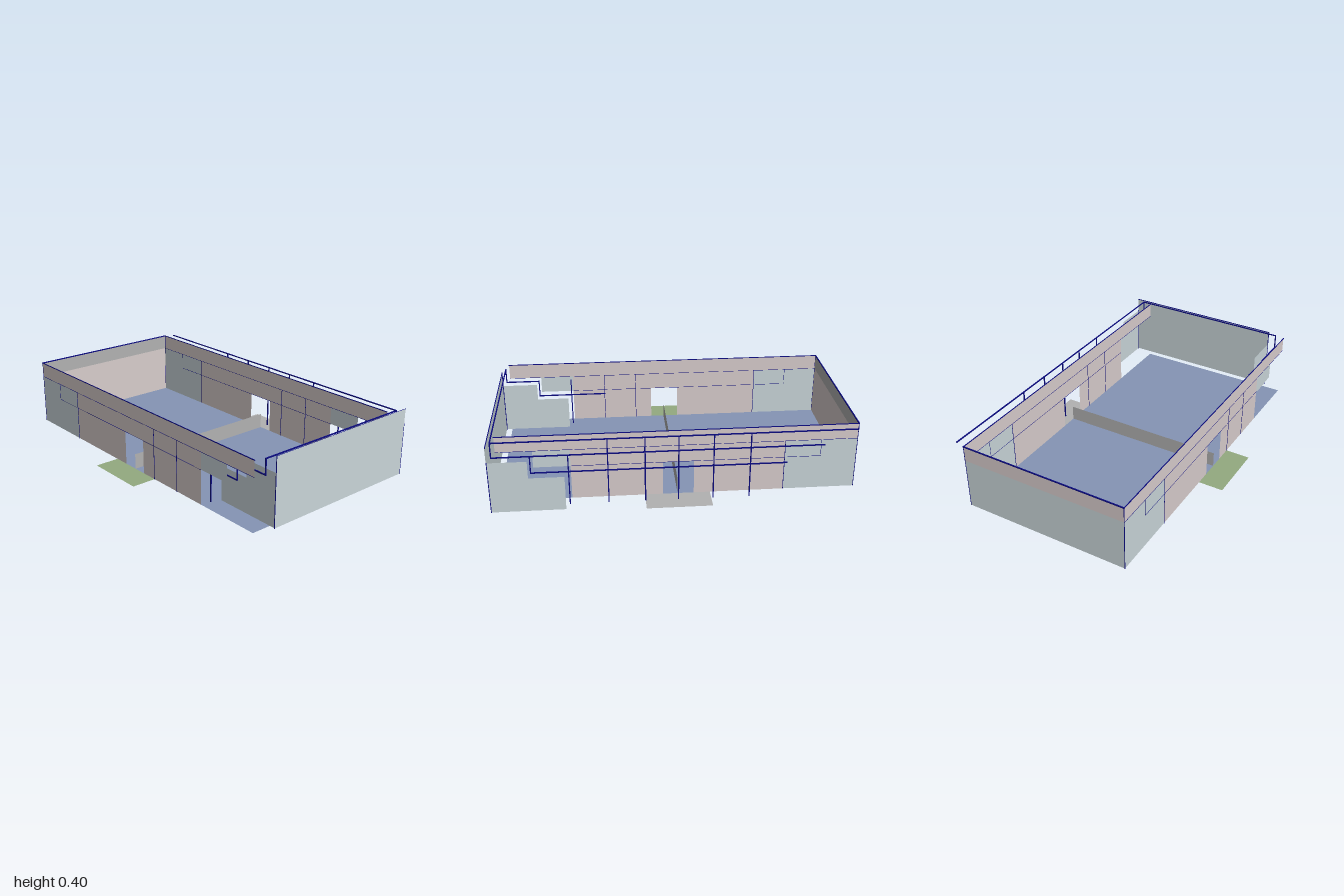
import * as THREE from 'three';

const mat = (color, side = THREE.DoubleSide) => new THREE.MeshStandardMaterial({ color, side });
const pink = mat(0xd8cdcc), teal = mat(0xc9d5d9), grey = mat(0xb2b2b2);
const blue = mat(0x8595b5), green = mat(0x93aa80), navy = mat(0x0a0a80);
const pinkIn = mat(0xd8cdcc, THREE.BackSide), tealOut = mat(0xc9d5d9, THREE.FrontSide);
const greyIn = mat(0xb2b2b2, THREE.BackSide), pinkOut = mat(0xd8cdcc, THREE.FrontSide);

const X0 = -1, X1 = 0.965, FRONT = 0.49, BACK = -0.495, TOP = 0.39;

export function createModel() {
  const model = new THREE.Group();

  const add = (parent, name, geometry, material) => {
    const mesh = new THREE.Mesh(geometry, material);
    mesh.name = name;
    parent.add(mesh);
    return mesh;
  };
  const group = (name) => {
    const g = new THREE.Group();
    g.name = name;
    model.add(g);
    return g;
  };
  // Thin upright panel facing +z
  const panelZ = (parent, name, x0, x1, y0, y1, z, material) =>
    add(parent, name, new THREE.PlaneGeometry(x1 - x0, y1 - y0), material)
      .position.set((x0 + x1) / 2, (y0 + y1) / 2, z);
  // Thin upright panel facing +x or -x
  const panelX = (parent, name, x, y0, y1, z0, z1, material, dir = 1) => {
    const m = add(parent, name, new THREE.PlaneGeometry(z1 - z0, y1 - y0), material);
    m.rotation.y = dir * Math.PI / 2;
    m.position.set(x, (y0 + y1) / 2, (z0 + z1) / 2);
  };
  // Flat slab facing up
  const slab = (name, x0, x1, z0, z1, y, material) => {
    const m = add(model, name, new THREE.PlaneGeometry(x1 - x0, z1 - z0), material);
    m.rotation.x = -Math.PI / 2;
    m.position.set((x0 + x1) / 2, y, (z0 + z1) / 2);
  };
  // Slender bar along one axis between two points
  const bar = (parent, name, a, b, t = 0.006) => {
    const size = a.map((v, i) => Math.abs(b[i] - v) + t);
    add(parent, name, new THREE.BoxGeometry(...size), navy)
      .position.set(...a.map((v, i) => (v + b[i]) / 2));
  };
  const path = (parent, name, points, t) => {
    for (let i = 1; i < points.length; i++) bar(parent, name, points[i - 1], points[i], t);
  };

  // Floor and entrance pads
  slab('floor', X0, X1, BACK, FRONT, 0, blue);
  slab('frontPad', -0.19, 0.17, FRONT, 0.635, 0, green);
  slab('backPad', -0.19, 0.17, -0.64, BACK, 0, grey);

  // Long walls with a doorway and a stepped end
  for (const [name, z] of [['frontWall', FRONT], ['backWall', BACK]]) {
    const wall = group(name);
    panelZ(wall, 'topBand', X0, X1, 0.3, TOP, z, pink);
    panelZ(wall, 'endPanel', X0, -0.6, 0, 0.3, z, teal);
    panelZ(wall, 'steppedPanel', 0.57, 0.77, 0.2, 0.3, z, teal);
    panelZ(wall, 'doorHeader', -0.1, 0.07, 0.2, 0.3, z, pink);
    const edges = [-0.6, -0.4, -0.2, -0.1, 0.07, 0.17, 0.37, 0.57];
    for (let i = 1; i < edges.length; i++) {
      if (edges[i] === 0.07) continue;
      panelZ(wall, 'wallPanel', edges[i - 1], edges[i], 0, 0.3, z, pink);
    }
    // Edge trim
    bar(wall, 'topTrim', [X0, TOP, z], [X1, TOP, z], 0.004);
    bar(wall, 'bandTrim', [X0, 0.3, z], [X1, 0.3, z], 0.002);
    bar(wall, 'lowerTrim', [-0.8, 0.2, z], [0.57, 0.2, z], 0.002);
    bar(wall, 'stepTrim', [-0.8, 0.2, z], [-0.8, 0.3, z], 0.002);
    for (const x of [-0.6, 0.17, 0.37]) bar(wall, 'seamTrim', [x, 0, z], [x, 0.3, z], 0.003);
    bar(wall, 'cornerTrim', [X0, 0, z], [X0, TOP, z], 0.003);
  }

  // Left-hand end wall, different inside and out
  const endWall = group('endWall');
  panelX(endWall, 'endWallOuter', X0, 0, 0.3, BACK, FRONT, tealOut, -1);
  panelX(endWall, 'endWallInner', X0, 0, 0.3, BACK, FRONT, pinkIn, -1);
  panelX(endWall, 'endBandOuter', X0, 0.3, TOP, BACK, FRONT, pinkOut, -1);
  panelX(endWall, 'endBandInner', X0, 0.3, TOP, BACK, FRONT, greyIn, -1);
  bar(endWall, 'endTopTrim', [X0, TOP, BACK], [X0, TOP, FRONT]);

  // Low partition across the floor
  panelX(model, 'partition', -0.01, 0, 0.09, BACK, FRONT, grey);

  // Offset end shell with stepped return panels
  const shell = group('offsetEndShell');
  panelX(shell, 'shellWall', 1, 0, TOP, -0.61, 0.375, teal);
  for (const z of [0.375, -0.61]) {
    panelZ(shell, 'returnLow', 0.6, 0.79, 0, 0.2, z, teal);
    panelZ(shell, 'returnHigh', 0.79, 1, 0, 0.3, z, teal);
    bar(shell, 'shellCornerTrim', [0.998, 0, z], [0.998, z > 0 ? TOP : 0.3, z], 0.004);
  }
  bar(shell, 'shellTopTrim', [0.998, TOP - 0.002, -0.61], [0.998, TOP - 0.002, 0.375], 0.004);

  // Free-standing rails and posts
  const rails = group('rails');
  const zb = -0.555, zf = 0.43, xr = 0.98, top = TOP - 0.003;
  bar(rails, 'topRailBack', [-0.98, top, zb], [xr, top, zb]);
  bar(rails, 'topRailSide', [xr, top, zb], [xr, top, zf]);
  path(rails, 'middleRailBack', [[-0.8, 0.3, zb], [xr, 0.3, zb], [xr, top, zb]]);
  path(rails, 'lowerRailBack', [[-0.6, 0.2, zb], [0.78, 0.2, zb], [0.78, 0.3, zb]]);
  path(rails, 'steppedRailFront',
    [[0.37, 0.2, zf], [0.78, 0.2, zf], [0.78, 0.3, zf], [xr, 0.3, zf], [xr, top, zf]]);
  for (const x of [-0.4, -0.2, -0.01, 0.17, 0.37, 0.58])
    bar(rails, 'post', [x, 0.003, zb], [x, x > 0.5 ? 0.3 : top, zb]);
  bar(rails, 'frontPost', [0.58, 0.003, zf], [0.58, 0.3, zf]);

  return model;
}
